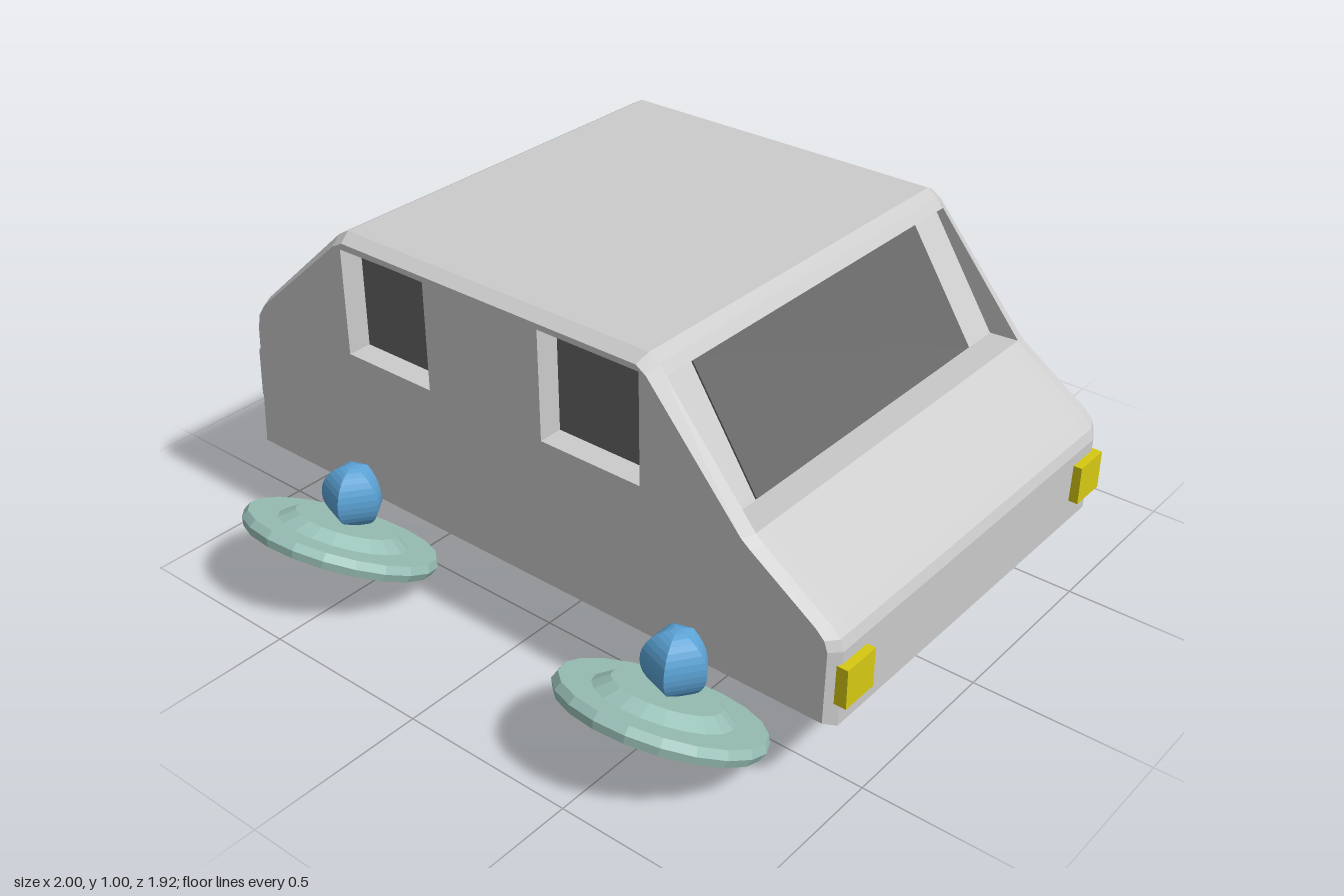
import * as THREE from 'three';

const mat = (color, flatShading = false) => new THREE.MeshStandardMaterial({ color, flatShading });
const grey = mat(0xcccccc), glass = mat(0x666666), yellow = mat(0xd6c812);
const teal = mat(0x9ac2b8, true), blue = mat(0x5ba3d6, true);

// Side profile (x, y); the windscreen is either flush or set back
const rear = [[-0.99, 0.23], [-0.962, 0.62], [-0.952, 0.665], [-0.925, 0.705], [-0.61, 0.99], [-0.575, 1.01], [0.415, 1.01], [0.445, 0.99]];
const nose = [[0.725, 0.655], [0.75, 0.635], [0.94, 0.5], [0.965, 0.475], [0.975, 0.445], [0.97, 0.23]];
const setBack = [[0.465, 0.965], [0.44, 0.96], [0.64, 0.65]];
const fullProfile = [...rear, ...nose];
const cutProfile = [...rear, ...setBack, ...nose];
const windows = [[-0.57, -0.275], [0.105, 0.415]];
const sill = 0.67, head = 0.975;

const vectors = (pts) => pts.map(([x, y]) => new THREE.Vector2(x, y));

// Slice of the body between two z values, optionally with the window openings
function slice(profile, z0, z1, open) {
  const shape = new THREE.Shape(vectors(profile));
  if (open) {
    for (const [a, b] of windows) {
      shape.holes.push(new THREE.Path(vectors([[a, sill], [b, sill], [b, head], [a, head]])));
    }
  }
  return new THREE.ExtrudeGeometry(shape, { depth: z1 - z0, bevelEnabled: false }).translate(0, 0, z0);
}

// Draws in the outer rim of a side slice to make a chamfer
function chamfer(geometry, zOuter) {
  const p = geometry.attributes.position;
  for (let i = 0; i < p.count; i++) {
    const x = p.getX(i), y = p.getY(i);
    const inWindow = x > -0.58 && x < 0.42 && y > 0.66 && y < 0.98;
    if (Math.abs(p.getZ(i) - zOuter) < 1e-4 && !inWindow) p.setXY(i, x * 0.98, 0.62 + (y - 0.62) * 0.95);
  }
  geometry.computeVertexNormals();
  return geometry;
}

function add(parent, name, geometry, material, x = 0, y = 0, z = 0) {
  const mesh = new THREE.Mesh(geometry, material);
  mesh.name = name;
  mesh.position.set(x, y, z);
  parent.add(mesh);
  return mesh;
}

// Disc wheel with a stepped hub on both faces
function wheelGeometry() {
  const pts = [[0, -0.045], [0.14, -0.045], [0.18, -0.022], [0.262, -0.022], [0.272, 0],
    [0.262, 0.022], [0.18, 0.022], [0.14, 0.05], [0, 0.05]];
  return new THREE.LatheGeometry(vectors(pts), 20);
}

export function createModel() {
  const car = new THREE.Group();
  car.name = 'car';

  // Body: core, window pockets and chamfered sides
  const body = new THREE.Group();
  body.name = 'body';
  car.add(body);
  add(body, 'bodyCore', slice(cutProfile, -0.54, 0.54, false), grey);
  for (const s of [1, -1]) {
    const layer = (a, b) => (s > 0 ? [a, b] : [-b, -a]);
    add(body, 'windowSurround', slice(cutProfile, ...layer(0.54, 0.577), true), grey);
    add(body, 'sidePanel', chamfer(slice(fullProfile, ...layer(0.577, 0.613), true), s * 0.613), grey);
    for (const [a, b] of windows) {
      add(body, 'sideWindow', new THREE.BoxGeometry(b - a, head - sill, 0.01), glass, (a + b) / 2, (sill + head) / 2, s * 0.54);
    }
  }

  // Windscreen glass on the set-back slope
  const screen = add(body, 'windscreen', new THREE.BoxGeometry(0.365, 0.01, 0.93), glass, 0.54, 0.805, 0);
  screen.rotation.z = Math.atan2(-0.31, 0.2);

  // Lamps
  for (const s of [1, -1]) {
    add(car, 'headlight', new THREE.BoxGeometry(0.04, 0.11, 0.11), yellow, 0.978, 0.355, s * 0.535);
    const tail = add(car, 'tailLight', new THREE.BoxGeometry(0.04, 0.15, 0.1), grey, -0.976, 0.45, s * 0.535);
    tail.rotation.z = -0.06;
  }

  // Splayed wheels on ball joints
  const wheelShape = wheelGeometry();
  const ballShape = new THREE.SphereGeometry(0.09, 5, 16).rotateY(Math.PI);
  for (const x of [-0.558, 0.563]) {
    for (const s of [1, -1]) {
      add(car, 'ballJoint', ballShape, blue, x, 0.26, s * 0.655);
      const wheel = add(car, 'wheel', wheelShape, teal, x, 0.148, s * 0.717);
      wheel.rotation.x = -s * 0.49;
    }
  }
  return car;
}
